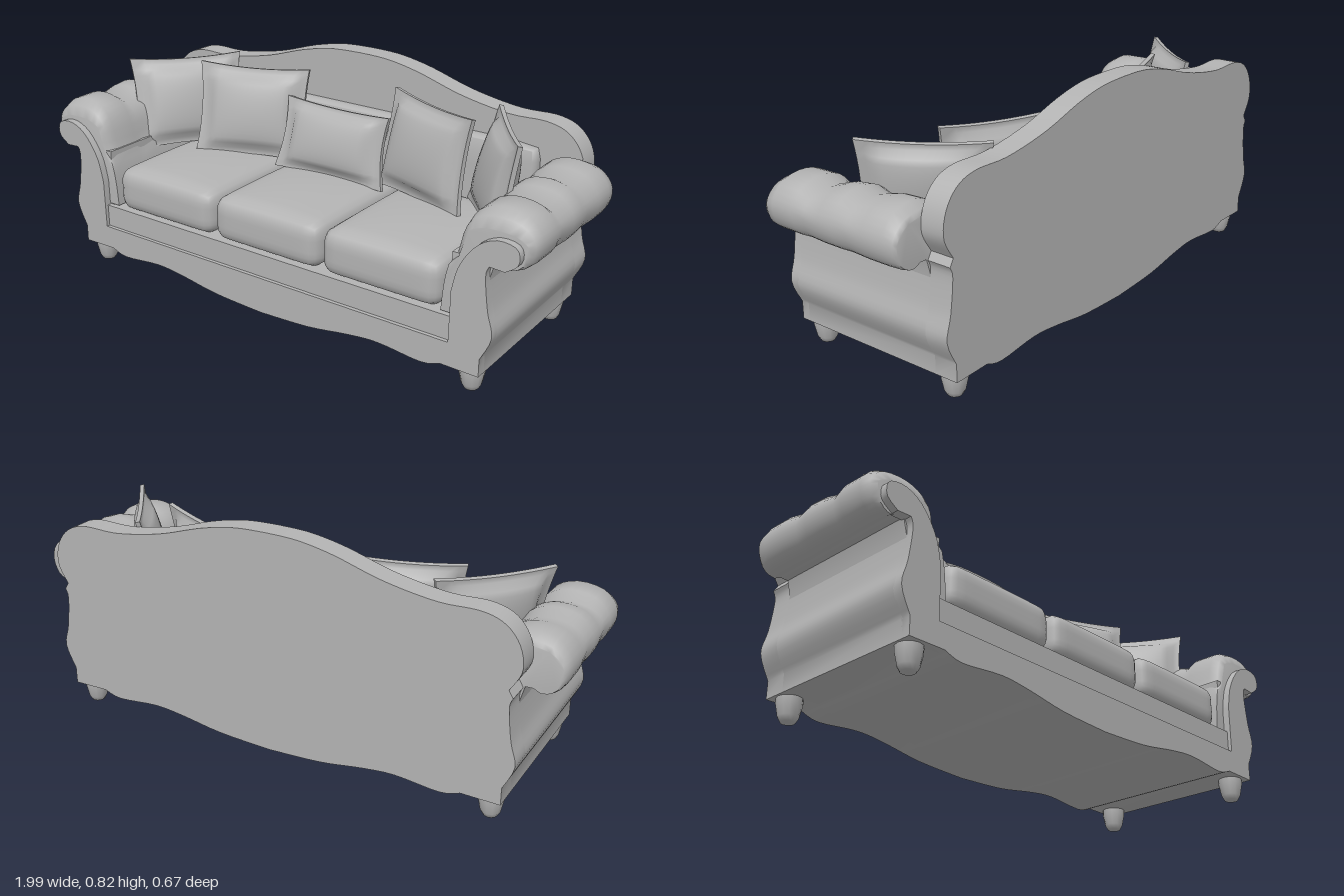
import * as THREE from 'three';
import { mergeVertices, toCreasedNormals } from 'three/addons/utils/BufferGeometryUtils.js';

const fabric = new THREE.MeshStandardMaterial({ color: 0xb3b3b3 });
fabric.name = 'grey fabric';

function add(parent, name, geometry) {
  const mesh = new THREE.Mesh(geometry, fabric);
  mesh.name = name;
  parent.add(mesh);
  return mesh;
}

const vec = (pts) => pts.map(([x, y]) => new THREE.Vector2(x, y));
const smooth = (pts, n) => new THREE.SplineCurve(vec(pts)).getPoints(n);

// Mirror a half outline (running from bottom centre to top centre) and extrude it from z0 to z1
function symmetricSlab(half, z0, z1) {
  const mirrored = half.filter((p) => p.x > 0.001).reverse().map((p) => new THREE.Vector2(-p.x, p.y));
  const geo = new THREE.ExtrudeGeometry(new THREE.Shape([...half, ...mirrored]), { depth: z1 - z0, bevelEnabled: false });
  geo.translate(0, 0, z0);
  return toCreasedNormals(geo, 0.6);
}

function weld(geo) {
  geo.deleteAttribute('uv');
  geo.deleteAttribute('normal');
  const welded = mergeVertices(geo, 1e-4);
  welded.computeVertexNormals();
  return welded;
}

// Rounded box with a crowned top and slightly bulging front
function cushion(w, h, d, r, crown) {
  const geo = new THREE.BoxGeometry(w, h, d, 14, 8, 14);
  const p = geo.attributes.position;
  const v = new THREE.Vector3(), core = new THREE.Vector3();
  const lim = new THREE.Vector3(w / 2 - r, h / 2 - r, d / 2 - r);
  for (let i = 0; i < p.count; i++) {
    v.fromBufferAttribute(p, i);
    core.copy(v).clamp(lim.clone().negate(), lim);
    v.sub(core).normalize().multiplyScalar(r).add(core);
    const a = (2 * v.x) / w, b = (2 * v.z) / d;
    if (v.y > 0) v.y += crown * (1 - a * a) * (1 - b * b);
    p.setXYZ(i, v.x, v.y, v.z);
  }
  return weld(geo);
}

// Stuffed pillow with a flat flange and pointed corners
function pillow(w, h, t) {
  const geo = new THREE.BoxGeometry(w, h, 1, 16, 16, 1);
  const p = geo.attributes.position;
  for (let i = 0; i < p.count; i++) {
    const u = (2 * p.getX(i)) / w, v = (2 * p.getY(i)) / h;
    const a = Math.max(0, 1 - (u / 0.87) ** 2), b = Math.max(0, 1 - (v / 0.87) ** 2);
    const thick = 0.008 + (t / 2) * Math.pow(a * b, 0.4);
    const wave = 0.012 * u * v;
    p.setXYZ(i,
      p.getX(i) * (1 - 0.07 * (1 - v * v)),
      p.getY(i) * (1 - 0.07 * (1 - u * u)),
      Math.sign(p.getZ(i)) * thick + wave);
  }
  geo.computeVertexNormals();
  return geo;
}

// Rolled arm: a cross-section swept along z, swelling between tufts
function armRoll(side) {
  const ring = smooth([[0.69, 0.25], [0.7, 0.36], [0.725, 0.46], [0.75, 0.55], [0.79, 0.605], [0.86, 0.628],
    [0.94, 0.615], [0.985, 0.57], [0.995, 0.52], [0.975, 0.47], [0.93, 0.448], [0.86, 0.45], [0.845, 0.25]], 32);
  // z, width scale, height scale
  const stations = [[-0.25, 0.9, 0.7], [-0.24, 0.96, 0.85], [-0.2, 1, 1.02], [-0.12, 1, 0.98], [-0.05, 0.95, 0.8],
    [0, 0.99, 1], [0.06, 0.99, 0.92], [0.13, 0.94, 0.68], [0.17, 0.99, 0.95], [0.26, 0.98, 0.93],
    [0.295, 0.92, 0.72], [0.31, 0.8, 0.35]];
  const pos = [], idx = [], n = ring.length;
  for (const [z, sx, sy] of stations) {
    for (const q of ring) {
      const x = q.y > 0.42 ? 0.86 + (q.x - 0.86) * sx : q.x;
      const y = q.y > 0.53 ? 0.53 + (q.y - 0.53) * sy : q.y;
      pos.push(side * x, y, z);
    }
  }
  const tri = (a, b, c) => (side > 0 ? idx.push(a, b, c) : idx.push(a, c, b));
  for (let s = 0; s < stations.length - 1; s++) {
    for (let i = 0; i < n; i++) {
      const j = (i + 1) % n, a = s * n + i, b = s * n + j;
      tri(a, a + n, b);
      tri(b, a + n, b + n);
    }
  }
  // End caps
  const caps = THREE.ShapeUtils.triangulateShape(ring, []);
  const ccw = !THREE.ShapeUtils.isClockWise(ring);
  const last = (stations.length - 1) * n;
  for (const [a, b, c] of caps) {
    if (ccw) { tri(a, c, b); tri(last + a, last + b, last + c); }
    else { tri(a, c, b); tri(last + a, last + b, last + c); }
  }
  const geo = new THREE.BufferGeometry();
  geo.setAttribute('position', new THREE.Float32BufferAttribute(pos, 3));
  geo.setIndex(idx);
  return toCreasedNormals(geo, 1.0);
}

export function createModel() {
  const sofa = new THREE.Group();
  sofa.name = 'sofa';

  // Scalloped bottom edge and curved outer side, shared by all frame slabs
  const bottom = smooth([[0, 0.032], [0.2, 0.042], [0.36, 0.066], [0.48, 0.076], [0.64, 0.062], [0.71, 0.08]], 20);
  const outer = [...vec([[0.845, 0.078]]),
    ...smooth([[0.845, 0.14], [0.882, 0.225], [0.863, 0.31], [0.85, 0.42], [0.86, 0.455]], 16)];

  // Body under the arms and seat
  add(sofa, 'body', symmetricSlab([...bottom, ...outer, ...vec([[0.72, 0.455], [0.72, 0.2], [0, 0.2]])], -0.25, 0.305));

  // Front frame with scrolled arm fronts and apron
  const scroll = smooth([[0.91, 0.452], [0.952, 0.485], [0.945, 0.535], [0.88, 0.545], [0.815, 0.51], [0.76, 0.43], [0.737, 0.34]], 20);
  add(sofa, 'frontFrame', symmetricSlab([...bottom, ...outer, ...scroll, ...vec([[0.735, 0.163], [0, 0.163]])], 0.3, 0.336));

  // Serpentine back
  const backTop = smooth([[0.845, 0.48], [0.882, 0.55], [0.87, 0.63], [0.82, 0.69], [0.74, 0.715], [0.6, 0.715], [0.42, 0.745],
    [0.25, 0.795], [0.12, 0.82], [0, 0.825]], 40);
  add(sofa, 'back', symmetricSlab([...bottom, ...outer, ...backTop], -0.335, -0.25));

  // Seat rail and padded inner back
  const rail = add(sofa, 'seatRail', new THREE.BoxGeometry(1.48, 0.09, 0.565));
  rail.position.set(0, 0.2, 0.04);
  const pad = add(sofa, 'backPad', cushion(1.46, 0.4, 0.08, 0.035, 0));
  pad.position.set(0, 0.43, -0.235);

  // Seat cushions
  for (const i of [-1, 0, 1]) {
    const seat = add(sofa, 'seatCushion', cushion(0.45, 0.165, 0.54, 0.05, 0.018));
    seat.position.set(i * 0.458, 0.322, 0.05);
  }

  // Arms and feet
  for (const side of [-1, 1]) {
    add(sofa, side > 0 ? 'leftArm' : 'rightArm', armRoll(side));
    for (const z of [-0.28, 0.28]) {
      const foot = add(sofa, 'foot', new THREE.LatheGeometry(
        vec([[0, 0], [0.024, 0], [0.034, 0.018], [0.043, 0.06], [0.043, 0.09]]), 12));
      foot.position.set(side * 0.795, 0, z);
    }
  }

  // Throw pillows, leaning back and turned inward
  function placePillow(name, w, h, t, x, y, z, turn, lean) {
    const mesh = add(sofa, name, pillow(w, h, t));
    mesh.rotation.set(-lean, turn, 0, 'YXZ');
    mesh.position.set(x, y, z);
  }
  placePillow('centrePillow', 0.45, 0.26, 0.1, 0, 0.53, -0.09, 0, 0.25);
  for (const side of [-1, 1]) {
    placePillow('innerPillow', 0.43, 0.345, 0.1, side * 0.372, 0.572, -0.1, -side * 0.35, 0.2);
    placePillow('outerPillow', 0.42, 0.345, 0.09, side * 0.665, 0.57, -0.065, -side * 0.9, 0.2);
  }
  return sofa;
}
